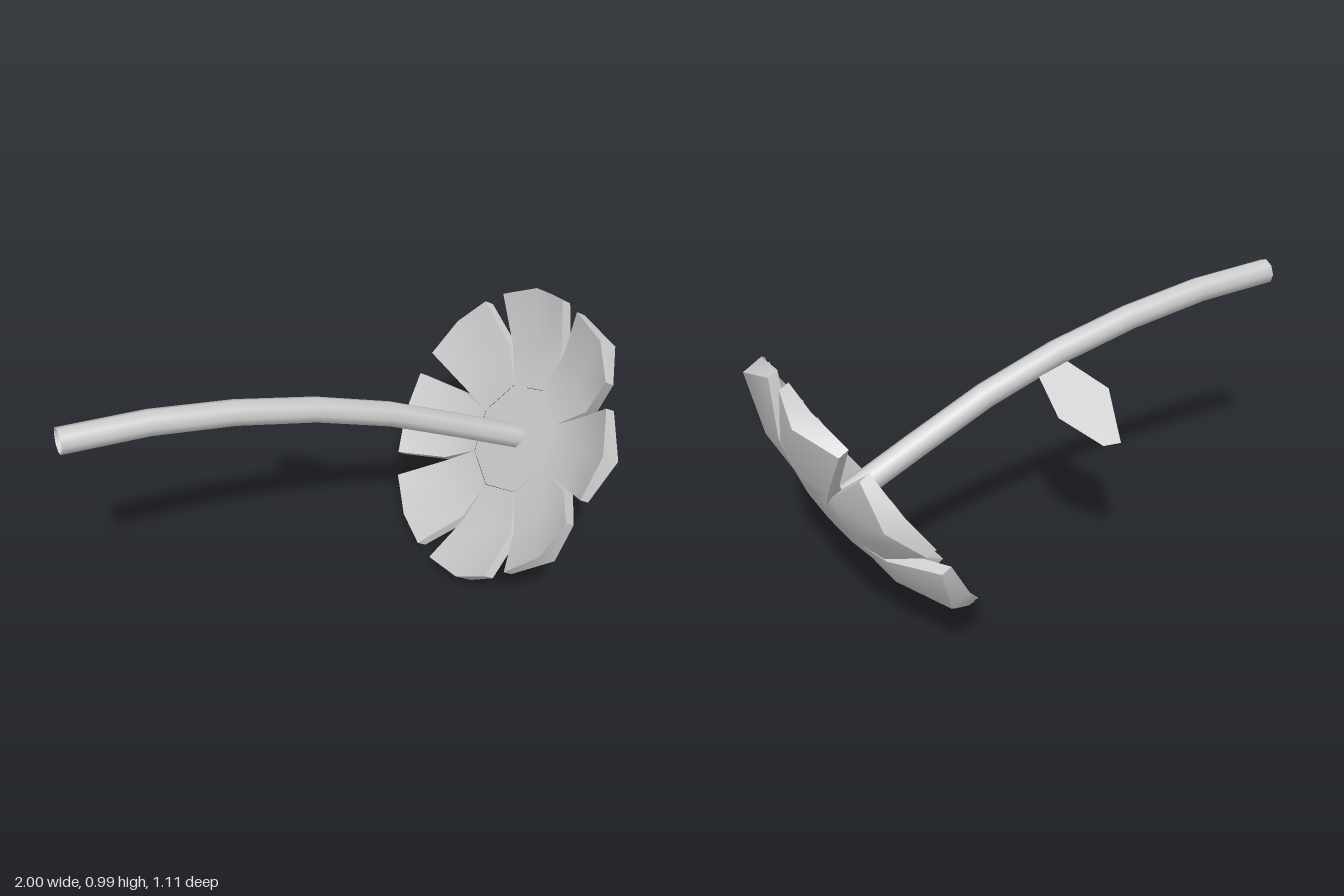
import * as THREE from 'three';
import { toCreasedNormals } from 'three/addons/utils/BufferGeometryUtils.js';

const material = new THREE.MeshStandardMaterial({ color: 0xcccccc });
const doubleSided = new THREE.MeshStandardMaterial({ color: 0xcccccc, side: THREE.DoubleSide });

function mesh(name, geometry, mat = material) {
  const m = new THREE.Mesh(geometry, mat);
  m.name = name;
  return m;
}

// One petal along +y facing +z, lofted through six-point sections.
function petalGeometry() {
  const rows = [
    // half width, y middle, y edge, front middle, front edge, back middle, back edge
    [0.083, 0.2, 0.2, 0.09, 0.09, 0.015, 0.015],
    [0.137, 0.36, 0.35, 0.08, 0.055, 0.01, 0.005],
    [0.167, 0.568, 0.53, 0.0, -0.05, -0.08, -0.09],
  ];
  const position = [];
  const index = [];
  for (const [w, ym, ye, fm, fe, bm, be] of rows) {
    position.push(-w, ye, fe, 0, ym, fm, w, ye, fe, w, ye, be, 0, ym, bm, -w, ye, be);
  }
  const quad = (a, b, c, d) => index.push(a, b, c, a, c, d);
  for (let r = 0; r < rows.length - 1; r++) {
    for (let i = 0; i < 6; i++) {
      const j = (i + 1) % 6;
      quad(r * 6 + i, r * 6 + j, r * 6 + 6 + j, r * 6 + 6 + i);
    }
  }
  const t = (rows.length - 1) * 6;
  quad(t, t + 1, t + 4, t + 5);
  quad(t + 1, t + 2, t + 3, t + 4);
  const g = new THREE.BufferGeometry();
  g.setAttribute('position', new THREE.Float32BufferAttribute(position, 3));
  g.setIndex(index);
  return toCreasedNormals(g, 0.8);
}

function createBlossom() {
  const blossom = new THREE.Group();
  blossom.name = 'blossom';

  // Eight petals around the centre
  const petal = petalGeometry();
  const turn = THREE.MathUtils.degToRad(-1.9);
  for (let i = 0; i < 8; i++) {
    const p = mesh('petal', petal);
    p.rotation.z = turn + (i + 0.5) * Math.PI / 4;
    blossom.add(p);
  }

  // Octagonal centre: flat back, softly domed front
  const profile = [[0, 0.015], [0.215, 0.015], [0.215, 0.09], [0.12, 0.107], [0, 0.113]]
    .map(([r, y]) => new THREE.Vector2(r, y));
  const disc = new THREE.LatheGeometry(profile, 8).rotateX(Math.PI / 2).rotateZ(turn);
  blossom.add(mesh('flowerCentre', toCreasedNormals(disc, 0.8)));

  // Face the blossom to +x, tilted downwards
  const tilt = THREE.MathUtils.degToRad(31.7);
  const s = Math.sin(tilt), c = Math.cos(tilt);
  blossom.quaternion.setFromRotationMatrix(new THREE.Matrix4().makeBasis(
    new THREE.Vector3(0, 0, -1), new THREE.Vector3(s, c, 0), new THREE.Vector3(c, -s, 0)));
  blossom.position.set(0.72, 0.458, 0);
  return blossom;
}

// Arched hollow stem
function createStem() {
  const path = new THREE.CatmullRomCurve3([
    [-1, 0.948], [-0.7, 0.934], [-0.4, 0.89], [-0.1, 0.819], [0.2, 0.715], [0.5, 0.575], [0.755, 0.452],
  ].map(([x, y]) => new THREE.Vector3(x, y, 0)));
  return mesh('stem', new THREE.TubeGeometry(path, 6, 0.047, 8), doubleSided);
}

// Flat leaf hanging from the back of the stem
function createLeaf() {
  const outline = [
    [-0.1, 0.8, 0], [-0.2, 0.725, -0.18], [-0.15, 0.6, -0.35],
    [-0.085, 0.6, -0.34], [0.015, 0.67, -0.2], [0, 0.775, 0],
  ];
  const g = new THREE.BufferGeometry();
  g.setAttribute('position', new THREE.Float32BufferAttribute(outline.flat(), 3));
  g.setIndex([0, 4, 1, 0, 5, 4, 1, 3, 2, 1, 4, 3]);
  g.computeVertexNormals();
  return mesh('leaf', g, doubleSided);
}

export function createModel() {
  const model = new THREE.Group();
  model.name = 'flower';
  model.add(createStem(), createLeaf(), createBlossom());
  return model;
}
